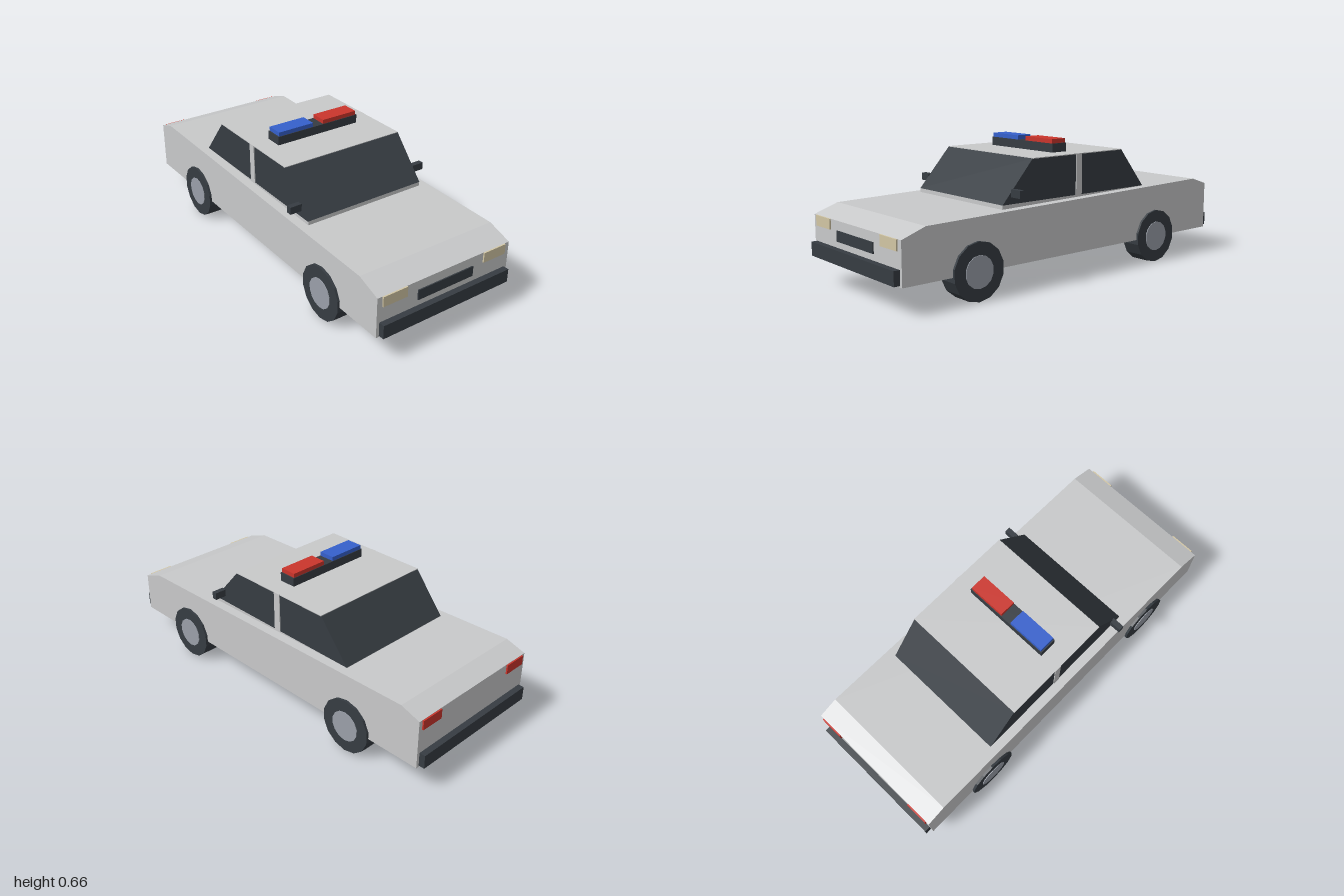
import * as THREE from 'three';

const material = (name, color) => {
  const m = new THREE.MeshStandardMaterial({ color });
  m.name = name;
  return m;
};

export function createModel() {
  const car = new THREE.Group();
  car.name = 'patrolCar';
  const paint = material('silverPaint', 0xc8c9ca);
  const dark = material('darkTrim', 0x363c42);
  const hubGrey = material('hubGrey', 0x9a9fa9);
  const red = material('red', 0xcb352c);
  const blue = material('blue', 0x3560cc);
  const cream = material('headlightCream', 0xd2c6a4);

  const add = (name, geometry, mat) => {
    const mesh = new THREE.Mesh(geometry, mat);
    mesh.name = name;
    car.add(mesh);
    return mesh;
  };
  // Box given by its limits on each axis
  const box = (name, mat, [x0, x1], [y0, y1], [z0, z1]) =>
    add(name, new THREE.BoxGeometry(x1 - x0, y1 - y0, z1 - z0), mat)
      .position.set((x0 + x1) / 2, (y0 + y1) / 2, (z0 + z1) / 2);
  // Side profile of [z, y] points, extruded across the car
  const across = (name, mat, points, halfWidth) => {
    const shape = new THREE.Shape(points.map(([z, y]) => new THREE.Vector2(z, y)));
    const g = new THREE.ExtrudeGeometry(shape, { depth: halfWidth * 2, bevelEnabled: false });
    g.translate(0, 0, -halfWidth).rotateY(-Math.PI / 2);
    add(name, g, mat);
  };

  // Body shell and cabin
  across('body', paint, [[0.97, 0.13], [0.97, 0.33], [0.85, 0.372], [-0.87, 0.405],
    [-0.97, 0.372], [-0.97, 0.13]], 0.375);
  across('cabinBase', paint, [[0.41, 0.37], [0.41, 0.4], [-0.513, 0.4], [-0.513, 0.37]], 0.328);
  across('windows', dark, [[0.41, 0.4], [0.233, 0.597], [-0.352, 0.597], [-0.513, 0.4]], 0.33);
  box('roof', paint, [-0.332, 0.332], [0.596, 0.6], [-0.352, 0.23]);

  // Light bar
  box('lightBarBase', dark, [-0.232, 0.232], [0.6, 0.643], [-0.067, 0.023]);
  box('blueLight', blue, [-0.226, -0.03], [0.643, 0.664], [-0.064, 0.02]);
  box('redLight', red, [0.03, 0.226], [0.643, 0.664], [-0.064, 0.02]);

  // Bumpers and grille
  box('frontBumper', dark, [-0.36, 0.36], [0.137, 0.204], [0.965, 1]);
  box('rearBumper', dark, [-0.36, 0.36], [0.137, 0.204], [-1, -0.965]);
  box('grille', dark, [-0.157, 0.157], [0.235, 0.285], [0.968, 0.976]);

  // Mirrored details
  for (const [side, s] of [['left', 1], ['right', -1]]) {
    const xs = (a, b) => (s > 0 ? [a, b] : [-b, -a]);
    box(side + 'DoorPillar', paint, xs(0.328, 0.334), [0.4, 0.6], [-0.077, -0.04]);
    box(side + 'Mirror', dark, xs(0.328, 0.39), [0.432, 0.468], [0.333, 0.36]);
    box(side + 'Headlight', cream, xs(0.218, 0.348), [0.28, 0.33], [0.968, 0.977]);
    box(side + 'Taillight', red, xs(0.235, 0.355), [0.323, 0.37], [-0.977, -0.968]);

    // Faceted tyres with hubs just proud of both faces
    for (const [end, z] of [['Front', 0.585], ['Rear', -0.562]]) {
      const disc = (name, r, width, mat) => {
        const g = new THREE.CylinderGeometry(r, r, width, 14).toNonIndexed();
        g.rotateZ(Math.PI / 2).rotateX(Math.PI / 2);
        g.computeVertexNormals();
        add(side + end + name, g, mat).position.set(s * 0.337, 0.136, z);
      };
      disc('Tyre', 0.136, 0.1, dark);
      disc('Hub', 0.076, 0.107, hubGrey);
    }
  }
  return car;
}
